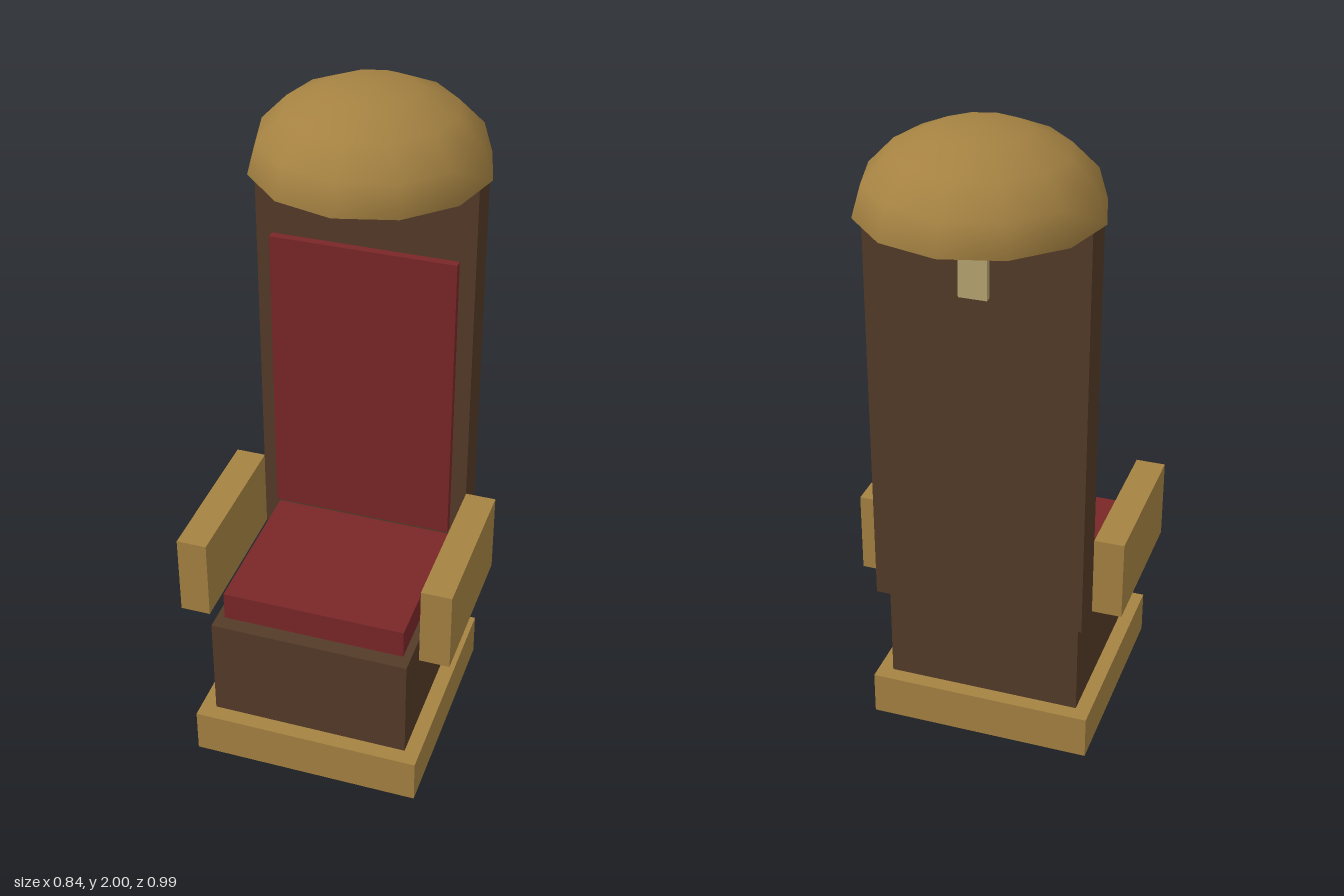
import * as THREE from 'three';

const mat = (name, color, side = THREE.FrontSide) => {
  const m = new THREE.MeshStandardMaterial({ color, side });
  m.name = name;
  return m;
};

export function createModel() {
  const gold = mat('gold', 0xa58242, THREE.DoubleSide);
  const wood = mat('dark wood', 0x543b28);
  const red = mat('red upholstery', 0x7a2627);
  const pale = mat('pale brass', 0xb8a570);

  const group = new THREE.Group();
  group.name = 'throne';

  // Box given by its extents on each axis
  const box = (name, material, [x0, x1], [y0, y1], [z0, z1]) => {
    const mesh = new THREE.Mesh(new THREE.BoxGeometry(x1 - x0, y1 - y0, z1 - z0), material);
    mesh.position.set((x0 + x1) / 2, (y0 + y1) / 2, (z0 + z1) / 2);
    mesh.name = name;
    group.add(mesh);
  };

  // Plinth, seat and back
  box('base', gold, [-0.35, 0.35], [0, 0.14], [-0.203, 0.497]);
  box('seat', wood, [-0.304, 0.304], [0.14, 0.47], [-0.155, 0.448]);
  box('backrest', wood, [-0.328, 0.328], [0.47, 1.775], [-0.203, -0.088]);

  // Upholstery
  box('seatCushion', red, [-0.28, 0.28], [0.47, 0.56], [-0.1, 0.401]);
  box('backCushion', red, [-0.28, 0.28], [0.585, 1.525], [-0.1, -0.063]);

  // Armrests
  box('leftArmrest', gold, [0.328, 0.42], [0.47, 0.726], [-0.09, 0.401]);
  box('rightArmrest', gold, [-0.42, -0.328], [0.47, 0.726], [-0.09, 0.401]);

  // Bracket on the rear, rising inside the canopy
  box('rearBracket', pale, [-0.042, 0.042], [1.525, 1.88], [-0.224, -0.2]);

  // Open, flattened half-sphere canopy
  const canopy = new THREE.Mesh(
    new THREE.SphereGeometry(0.35, 12, 4, 0, Math.PI * 2, 0, Math.PI / 2), gold);
  canopy.scale.y = 0.24 / 0.35;
  canopy.position.set(0, 1.76, -0.147);
  canopy.name = 'canopy';
  group.add(canopy);

  return group;
}
